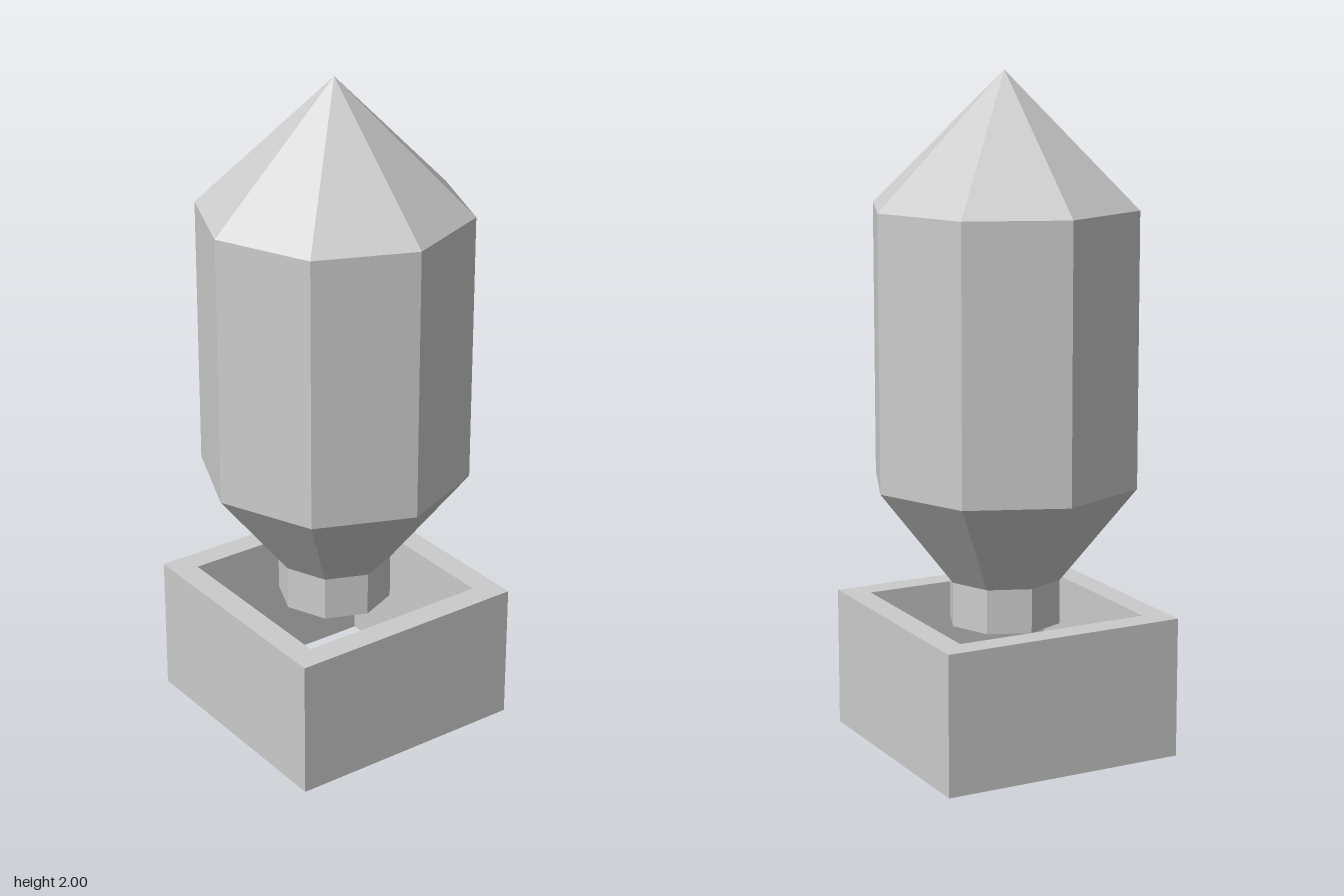
import * as THREE from 'three';

const SIDES = 8;

export function createModel() {
  const group = new THREE.Group();
  const material = new THREE.MeshStandardMaterial({ color: 0xcccccc, flatShading: true });

  const add = (name, geometry) => {
    const mesh = new THREE.Mesh(geometry, material);
    mesh.name = name;
    group.add(mesh);
    return mesh;
  };

  // Eight-sided section between two heights, a corner facing the front
  const section = (name, y0, y1, r0, r1, open) => {
    const geometry = new THREE.CylinderGeometry(r1, r0, y1 - y0, SIDES, 1, open);
    add(name, geometry).position.y = (y0 + y1) / 2;
  };

  // Square collar, open right through
  const square = (Type, h) => new Type([
    new THREE.Vector2(-h, -h), new THREE.Vector2(h, -h),
    new THREE.Vector2(h, h), new THREE.Vector2(-h, h),
  ]);
  const collar = square(THREE.Shape, 0.375);
  collar.holes.push(square(THREE.Path, 0.3));
  const collarGeometry = new THREE.ExtrudeGeometry(collar, { depth: 0.42, bevelEnabled: false });
  add('baseCollar', collarGeometry.rotateX(-Math.PI / 2));

  // Neck hanging just inside the collar
  section('neck', 0.375, 0.508, 0.171, 0.171, false);

  // Body: flared bottom, straight middle and pointed tip
  section('lowerTaper', 0.508, 0.8, 0.171, 0.403, true);
  section('body', 0.8, 1.61, 0.403, 0.403, true);
  add('tip', new THREE.ConeGeometry(0.403, 0.39, SIDES, 1, true)).position.y = 1.805;

  return group;
}
